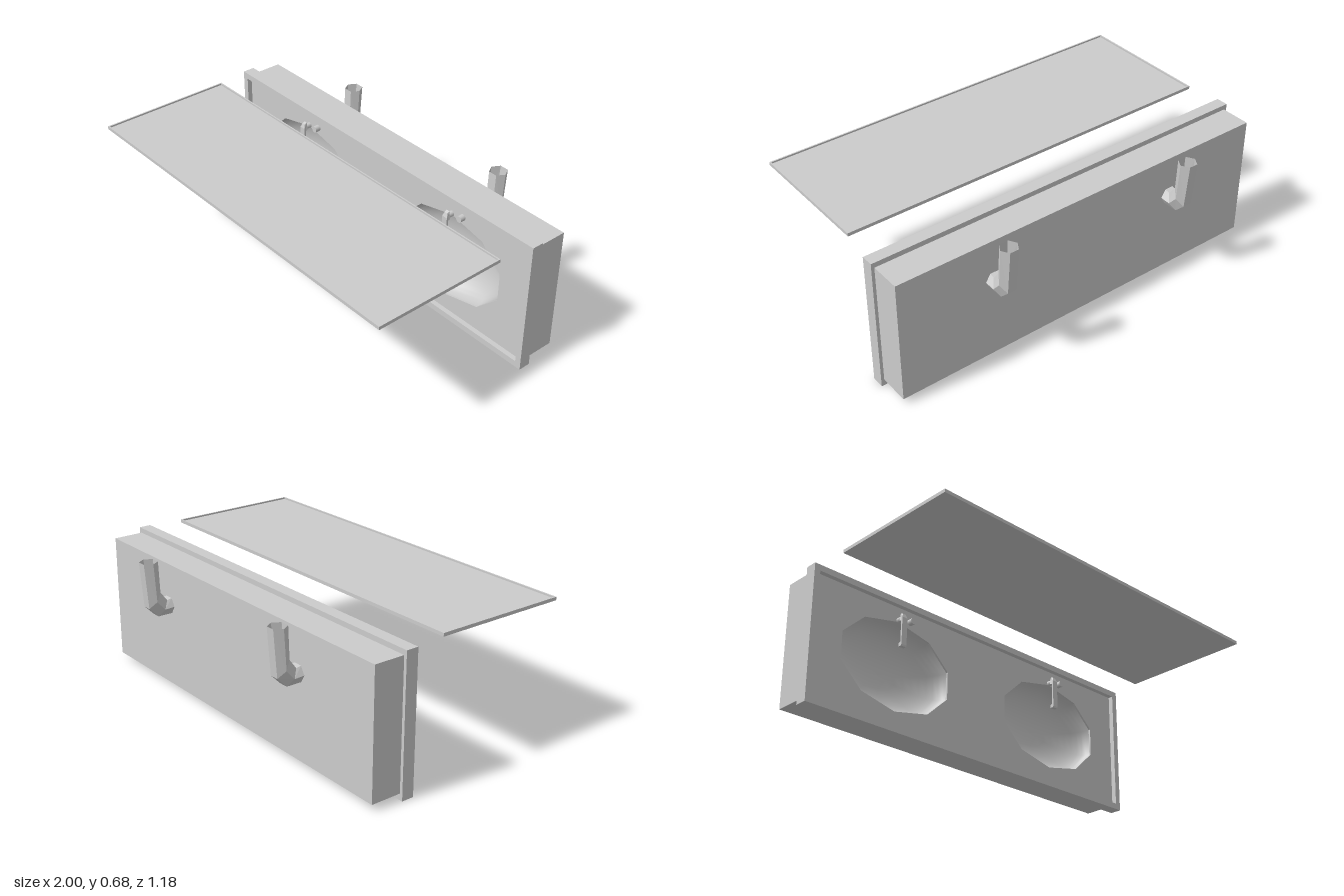
import * as THREE from 'three';

const grey = new THREE.MeshStandardMaterial({ color: 0xcccccc, side: THREE.DoubleSide });
const greyFlat = new THREE.MeshStandardMaterial({ color: 0xcccccc, side: THREE.DoubleSide, flatShading: true });

const MID_Y = 0.338, BOWL_X = 0.5, BOWL_RX = 0.328, BOWL_RY = 0.227;
const PANEL_Z = -0.265;

function add(parent, name, geometry, x = 0, y = 0, z = 0, material = grey) {
  const mesh = new THREE.Mesh(geometry, material);
  mesh.name = name;
  mesh.position.set(x, y, z);
  parent.add(mesh);
  return mesh;
}

function rect(Type, x0, y0, x1, y1) {
  return new Type([[x0, y0], [x1, y0], [x1, y1], [x0, y1]].map(p => new THREE.Vector2(...p)));
}

// Rectangle ring with a straight-walled opening
function frame(w, h, border, depth) {
  const s = rect(THREE.Shape, -w / 2, -h / 2, w / 2, h / 2);
  s.holes.push(rect(THREE.Path, -w / 2 + border, -h / 2 + border, w / 2 - border, h / 2 - border));
  return new THREE.ExtrudeGeometry(s, { depth, bevelEnabled: false });
}

// Ten-sided basin outline
function decagon(cx, cy) {
  const pts = [];
  for (let i = 0; i < 10; i++) {
    const a = (i / 10) * Math.PI * 2;
    pts.push(new THREE.Vector2(cx + BOWL_RX * Math.sin(a), cy + BOWL_RY * Math.cos(a)));
  }
  return new THREE.Path(pts);
}

// Rounded bowl sinking back from the panel
function bowlGeometry() {
  const depth = 0.13, profile = [];
  for (let i = 0; i <= 10; i++) {
    const a = (i / 10) * Math.PI / 2;
    profile.push(new THREE.Vector2(Math.sin(a), -depth * Math.cos(a)));
  }
  const g = new THREE.LatheGeometry(profile, 10);
  g.rotateX(Math.PI / 2);
  g.scale(BOWL_RX, BOWL_RY, 1);
  return g;
}

// Hexagonal pipe: each row is centre z, y and half-section z, y
function pipeGeometry() {
  const rows = [
    [-0.45, 0.442, 0, 0.0375],
    [-0.5, 0.44, 0.025, 0.035],
    [-0.541, 0.487, 0.032, 0.034],
    [-0.553, 0.676, 0.038, 0],
  ];
  const pos = [], idx = [];
  for (const [z, y, hz, hy] of rows) {
    for (let i = 0; i < 6; i++) {
      const a = (i / 6) * Math.PI * 2, s = Math.sin(a) / Math.sin(Math.PI / 3);
      pos.push(0.044 * Math.cos(a), y + hy * s, z + hz * s);
    }
  }
  for (let r = 0; r < rows.length - 1; r++) {
    for (let i = 0; i < 6; i++) {
      const a = r * 6 + i, b = r * 6 + (i + 1) % 6;
      idx.push(a, b, b + 6, a, b + 6, a + 6);
    }
  }
  const g = new THREE.BufferGeometry();
  g.setAttribute('position', new THREE.Float32BufferAttribute(pos, 3));
  g.setIndex(idx);
  g.computeVertexNormals();
  return g;
}

function makeTap() {
  const tap = new THREE.Group();
  tap.name = 'tap';
  // Post standing out of the panel
  const post = new THREE.CylinderGeometry(0.012, 0.014, 0.04, 10).rotateX(Math.PI / 2);
  add(tap, 'tapPost', post, 0, 0.572, PANEL_Z + 0.02);
  // Spout side profile with a tapered root and a downturned tip
  const side = new THREE.Shape([
    [0.424, -0.24], [0.424, -0.222], [0.432, -0.219], [0.572, -0.219], [0.592, -0.226],
    [0.598, -0.24], [0.56, -0.24], [0.555, -0.228], [0.445, -0.228], [0.44, -0.24],
  ].map(([y, z]) => new THREE.Vector2(-z, y)));
  const spout = new THREE.ExtrudeGeometry(side, { depth: 0.03, bevelEnabled: false });
  spout.translate(0, 0, -0.015).rotateY(Math.PI / 2);
  // Narrow the root of the spout
  const p = spout.attributes.position;
  for (let i = 0; i < p.count; i++) if (p.getY(i) > 0.58) p.setX(i, p.getX(i) * 0.55);
  spout.computeVertexNormals();
  add(tap, 'tapSpout', spout);
  // Round knob beside the spout
  const knob = new THREE.CylinderGeometry(0.016, 0.016, 0.027, 12).rotateX(Math.PI / 2);
  add(tap, 'tapKnob', knob, 0.068, 0.586, PANEL_Z + 0.0135);
  return tap;
}

export function createModel() {
  const model = new THREE.Group();
  model.name = 'doubleWashstand';

  // Cabinet: four walls and a back board
  add(model, 'cabinetWalls', frame(1.97, 0.615, 0.02, 0.15), 0, MID_Y, -0.45);
  add(model, 'cabinetBack', new THREE.BoxGeometry(1.94, 0.59, 0.01), 0, MID_Y, -0.445);

  // Counter rim around a sunken panel
  add(model, 'counterRim', frame(2, 0.67, 0.03, 0.06), 0, 0.335, -0.3);
  const top = rect(THREE.Shape, -0.97, 0.03, 0.97, 0.64);
  for (const s of [-1, 1]) top.holes.push(decagon(s * BOWL_X, MID_Y));
  const panel = new THREE.ExtrudeGeometry(top, { depth: 0.012, bevelEnabled: false });
  add(model, 'counterPanel', panel, 0, 0, PANEL_Z - 0.012);

  // Basins, taps and drain pipes
  for (const s of [-1, 1]) {
    add(model, 'basin', bowlGeometry(), s * BOWL_X, MID_Y, PANEL_Z - 0.01);
    add(model, 'drainPipe', pipeGeometry(), s * BOWL_X, 0, 0, greyFlat);
    const tap = makeTap();
    tap.position.x = s * BOWL_X + 0.002;
    model.add(tap);
  }

  // Separate flat mirror with a thin raised edge
  add(model, 'mirrorPlate', new THREE.BoxGeometry(1.93, 0.008, 0.655), 0, 0.664, 0.257);
  const edge = frame(1.94, 0.665, 0.007, 0.016).rotateX(-Math.PI / 2);
  add(model, 'mirrorEdge', edge, 0, 0.66, 0.257);

  return model;
}
